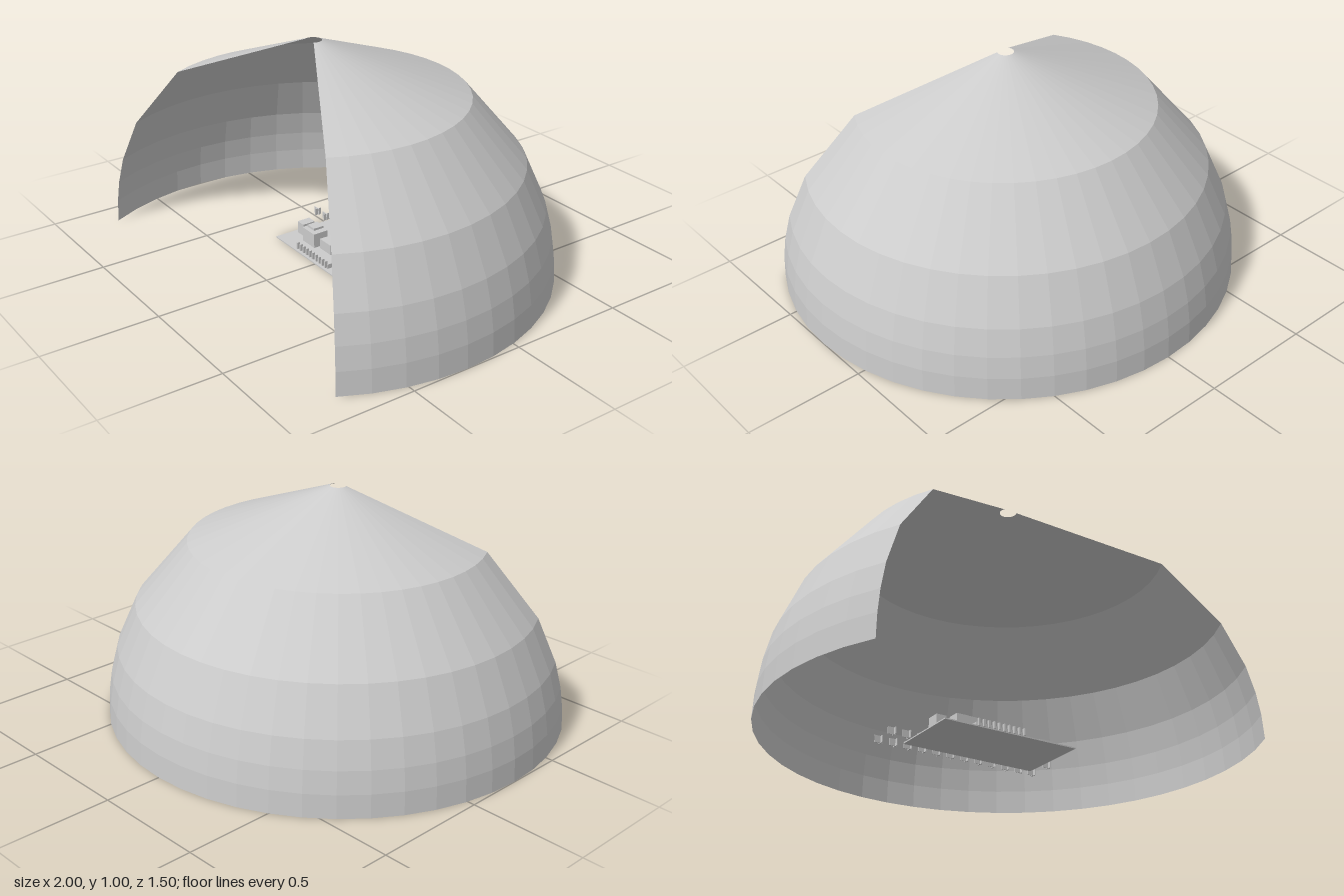
import * as THREE from 'three';

export function createModel() {
  const model = new THREE.Group();
  const grey = new THREE.MeshStandardMaterial({ color: 0xcccccc, flatShading: true, side: THREE.DoubleSide });
  grey.name = 'light grey';
  const centreZ = 0.25; // the dome's axis

  const add = (name, geometry, x, y, z, parent = model) => {
    const mesh = new THREE.Mesh(geometry, grey);
    mesh.name = name;
    mesh.position.set(x, y, z);
    parent.add(mesh);
    return mesh;
  };
  // Box standing on height y
  const block = (name, w, h, d, x, y, z, parent) =>
    add(name, new THREE.BoxGeometry(w, h, d), x, y + h / 2, z, parent);

  // Open dome shell: 240 degrees around, faceted rings and a small hole on top
  const profile = [0, 0.1, 0.195, 0.31, 0.5, 0.77].map(
    (y) => new THREE.Vector2(Math.sqrt(1 - y * y), y));
  profile.push(new THREE.Vector2(0.035, 1));
  add('domeShell', new THREE.LatheGeometry(profile, 32, Math.PI / 3, Math.PI * 4 / 3), 0, 0, centreZ);

  // Small settlement under the dome
  const town = new THREE.Group();
  town.name = 'town';
  town.position.z = centreZ;
  model.add(town);
  block('groundPlate', 0.61, 0.005, 0.32, 0, 0, -0.15, town);

  // Buildings: width, height, depth, x, z
  const buildings = [
    [0.09, 0.065, 0.07, -0.16, -0.1], [0.05, 0.075, 0.05, -0.17, -0.11],
    [0.045, 0.055, 0.06, -0.26, -0.12], [0.08, 0.045, 0.07, -0.06, -0.12],
    [0.08, 0.04, 0.06, 0.04, -0.11], [0.07, 0.045, 0.07, 0.13, -0.12],
    [0.06, 0.04, 0.06, 0.22, -0.1], [0.05, 0.03, 0.05, -0.05, -0.21],
    [0.06, 0.035, 0.05, 0.07, -0.21], [0.05, 0.03, 0.05, 0.18, -0.21],
  ];
  buildings.forEach(([w, h, d, x, z]) => block('building', w, h, d, x, 0.005, z, town));

  // Low terrace with posts along the front edge
  block('frontTerrace', 0.23, 0.02, 0.03, -0.04, 0.005, -0.02, town);
  for (let i = 0; i < 10; i++) {
    block('terracePost', 0.008, 0.03, 0.012, -0.145 + i * 0.0235, 0.01, -0.002, town);
  }

  // Two rows of small crossed panels behind the buildings
  for (const z of [-0.26, -0.37]) {
    for (let i = 0; i < 12; i++) {
      const x = -0.385 + i * 0.067;
      block('panel', 0.036, 0.03, 0.003, x, 0.008, z, town);
      block('panelFin', 0.003, 0.03, 0.03, x + 0.01, 0.008, z, town);
    }
  }
  return model;
}
